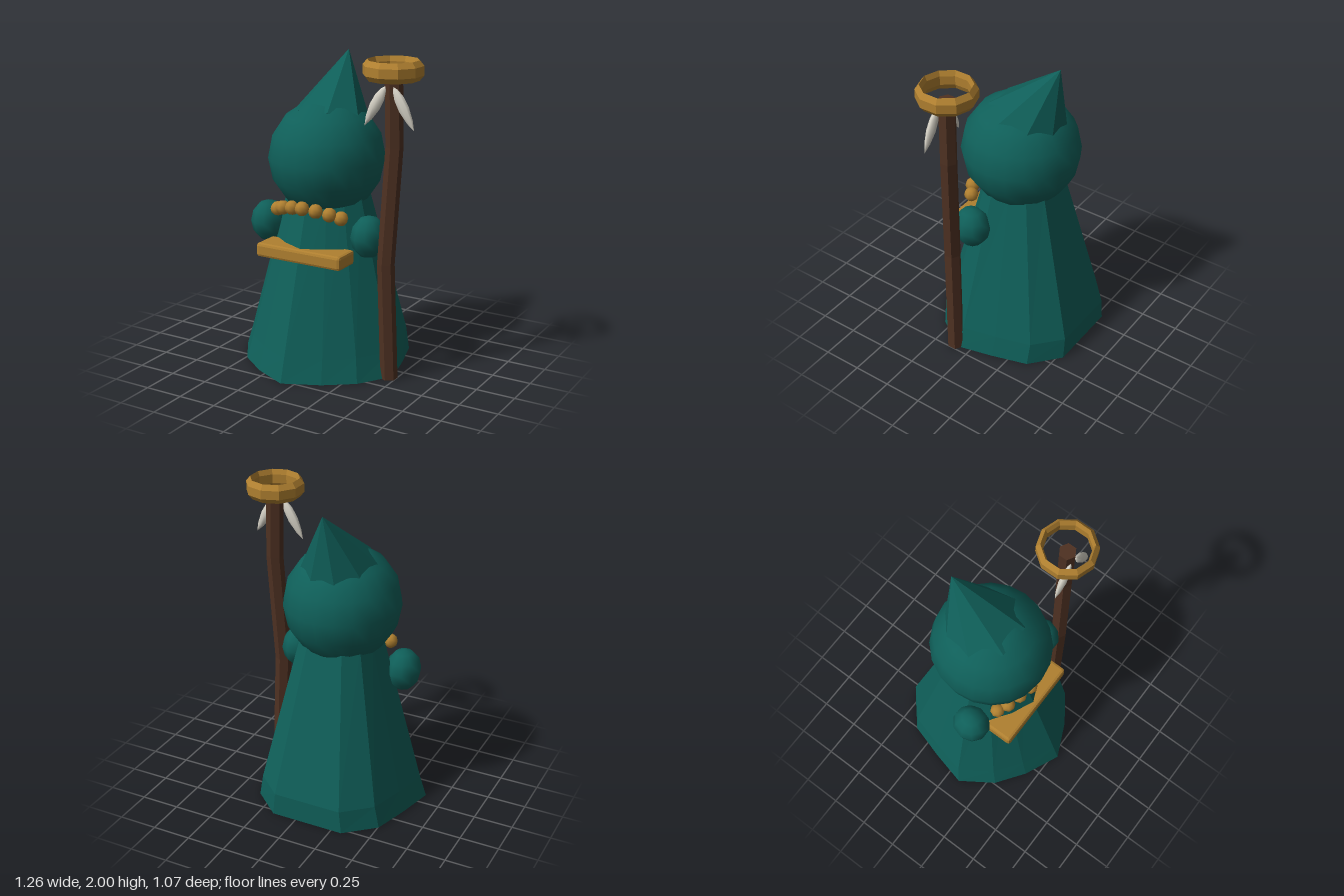
import * as THREE from 'three';
import { RoundedBoxGeometry } from 'three/addons/geometries/RoundedBoxGeometry.js';

const CX = -0.08; // centre line of the figure

const material = (name, color) => {
  const m = new THREE.MeshStandardMaterial({ color });
  m.name = name;
  return m;
};

// Faceted copy of a geometry
function flat(geometry) {
  const g = geometry.index ? geometry.toNonIndexed() : geometry;
  g.computeVertexNormals();
  return g;
}

// Joins rings of [x, y, z] points (bottom to top, front towards +x) and caps both ends
function loft(rings) {
  const out = [];
  const tri = (a, b, c) => out.push(...a, ...b, ...c);
  const middle = (ring) => [0, 1, 2].map((k) => ring.reduce((s, p) => s + p[k], 0) / ring.length);
  const n = rings[0].length;
  const low = rings[0], high = rings[rings.length - 1];
  for (let i = 0; i < n; i++) {
    const j = (i + 1) % n;
    for (let r = 0; r < rings.length - 1; r++) {
      const a = rings[r], b = rings[r + 1];
      tri(a[i], a[j], b[j]);
      tri(a[i], b[j], b[i]);
    }
    tri(middle(low), low[j], low[i]);
    tri(middle(high), high[i], high[j]);
  }
  const g = new THREE.BufferGeometry();
  g.setAttribute('position', new THREE.Float32BufferAttribute(out, 3));
  return flat(g);
}

export function createModel() {
  const model = new THREE.Group();
  const cloth = material('teal cloth', 0x0f5f59);
  const gold = material('gold', 0xb08030);
  const wood = material('dark wood', 0x4e3122);
  const white = material('feather white', 0xd6d2c6);

  const add = (name, geometry, mat, x = 0, y = 0, z = 0) => {
    const mesh = new THREE.Mesh(geometry, mat);
    mesh.name = name;
    mesh.position.set(x, y, z);
    model.add(mesh);
    return mesh;
  };

  // Robe: mirrored hem outline, tapering to the neck, with an upright hem at the back
  const half = [[0.23, 0.43], [0.41, 0.3], [0.55, 0.09], [0.495, -0.14], [0.425, -0.375], [0.24, -0.535]];
  const hem = [[0, 0.535], ...half, ...half.map(([x, z]) => [-x, z]).reverse()];
  const robeRing = (y, sx, sz, dz) => hem.map(([x, z]) => [CX + x * sx, y, z * sz + dz]);
  add('robe', loft([
    robeRing(0, 1, 1, 0),
    robeRing(0.15, 0.935, 0.96, -0.021),
    robeRing(1.12, 0.48, 0.458, -0.035),
  ]), cloth);

  // Head
  add('head', new THREE.SphereGeometry(0.37, 20, 8), cloth, CX, 1.33, -0.03).scale.set(0.99, 1, 1.02);

  // Pointed hat, leaning back
  const hatHeight = 0.49;
  const hat = add('hat', flat(new THREE.ConeGeometry(0.271, hatHeight, 8, 1, false, Math.PI / 8)), cloth);
  hat.rotation.x = -0.456;
  hat.position.set(CX, 1.53, -0.085)
    .add(new THREE.Vector3(0, hatHeight / 2, 0).applyEuler(hat.rotation));

  // Hands
  for (const [name, side] of [['leftHand', 1], ['rightHand', -1]]) {
    add(name, new THREE.SphereGeometry(0.135, 10, 6), cloth, CX + side * 0.367, 0.89, 0.088).scale.set(0.82, 1, 0.9);
  }

  // Belt plate across the front
  add('beltPlate', flat(new RoundedBoxGeometry(0.605, 0.09, 0.19, 1, 0.018)), gold, CX, 0.765, 0.24);

  // Bead necklace
  const beads = [[0, 1.06, 0.27], [0.085, 1.05, 0.25], [0.168, 1.033, 0.225], [0.23, 1.01, 0.19]];
  beads.forEach(([x, y, z], i) => {
    for (const side of i ? [1, -1] : [1]) {
      add('bead', new THREE.SphereGeometry(0.046, 8, 6), gold, CX + side * x, y, z);
    }
  });

  // Crooked six-sided staff
  const staffPath = [[0.455, 0, 0.115], [0.433, 0.75, 0.133], [0.468, 1.48, 0.108], [0.46, 1.9, 0.112]];
  add('staff', loft(staffPath.map(([x, y, z]) => Array.from({ length: 6 }, (_, i) => {
    const a = i * Math.PI / 3;
    return [x + Math.sin(a) * 0.054, y, z + Math.cos(a) * 0.054];
  }))), wood);

  // Ten-sided ring above the staff
  const band = [[0.182, -0.028], [0.182, 0.028], [0.156, 0.06], [0.142, 0.028], [0.142, -0.028], [0.156, -0.06], [0.182, -0.028]];
  add('staffRing', flat(new THREE.LatheGeometry(band.map(([r, y]) => new THREE.Vector2(r, y)), 10)), gold, 0.456, 1.94, 0.112);

  // Two feathers hanging from the staff
  const quill = [[0, -0.15], [0.022, -0.09], [0.036, -0.01], [0.033, 0.06], [0.018, 0.11], [0, 0.135]];
  for (const side of [-1, 1]) {
    const feather = add('feather', new THREE.LatheGeometry(quill.map(([r, y]) => new THREE.Vector2(r, y)), 8),
      white, 0.457 + side * 0.092, 1.73, 0.16);
    feather.scale.z = 0.65;
    feather.rotation.z = side * 0.51;
  }

  return model;
}
